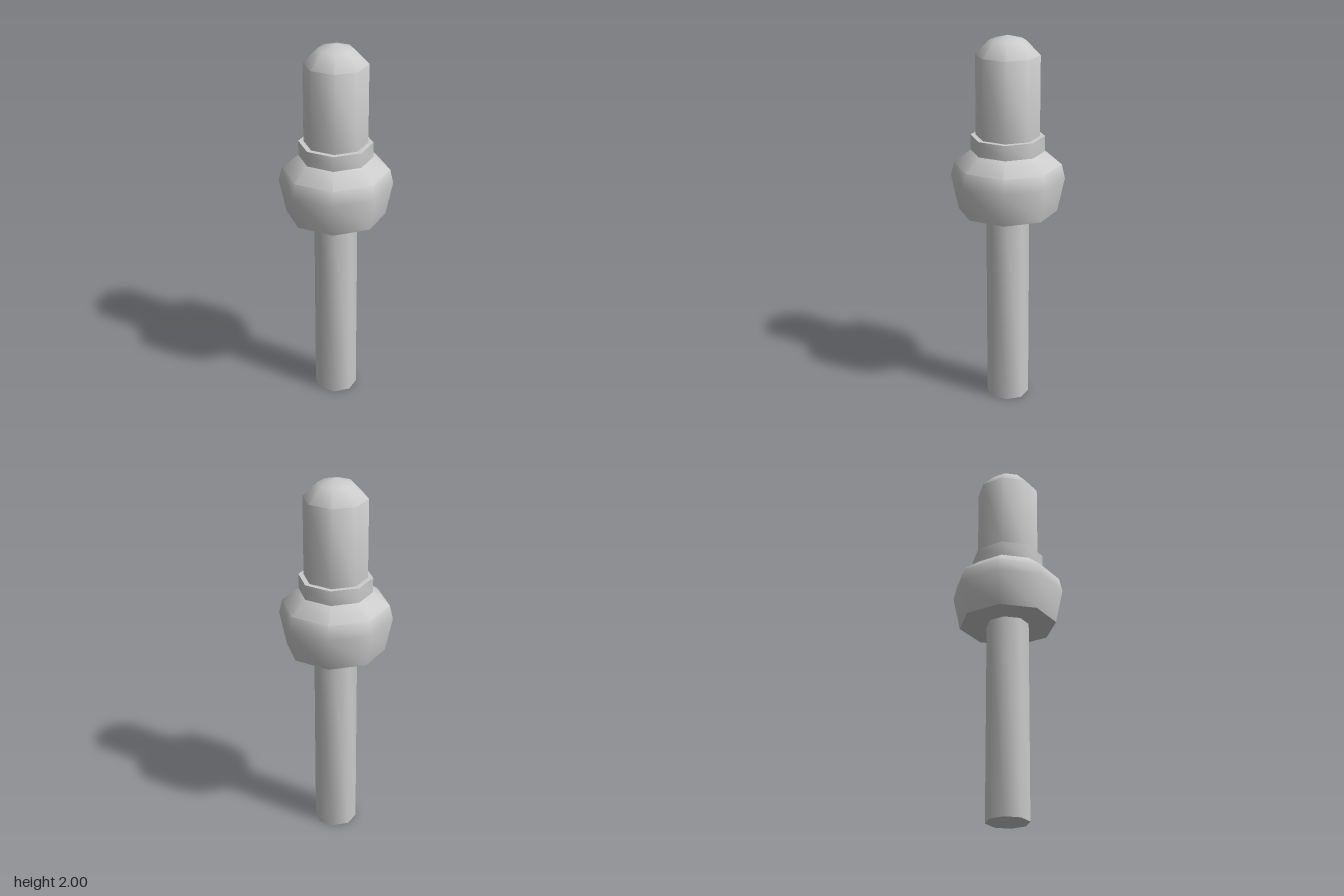
import * as THREE from 'three';
import { toCreasedNormals } from 'three/addons/utils/BufferGeometryUtils.js';

const SIDES = 8;
const material = new THREE.MeshStandardMaterial({ color: 0xcccccc });

// Octagonal turned part; profile is [distance to flat side, height], bottom to top
function turned(name, profile) {
  const points = profile.map(([r, y]) => new THREE.Vector2(r / Math.cos(Math.PI / SIDES), y));
  const geometry = new THREE.LatheGeometry(points, SIDES, Math.PI / SIDES);
  const mesh = new THREE.Mesh(toCreasedNormals(geometry, 0.9), material);
  mesh.name = name;
  return mesh;
}

export function createModel() {
  const group = new THREE.Group();
  group.name = 'octagonalPost';
  group.add(
    // Slim lower rod
    turned('shaft', [[0, 0], [0.105, 0], [0.105, 1.08]]),
    // Wide bulging body with a flat underside
    turned('body', [[0, 1.075], [0.24, 1.075], [0.275, 1.255], [0.259, 1.33], [0.178, 1.4]]),
    // Straight ring with a flat top ledge
    turned('collar', [[0.178, 1.4], [0.178, 1.48], [0.14, 1.48]]),
    // Upper pin with a domed end
    turned('tip', [[0.153, 1.48], [0.153, 1.9], [0.085, 1.975], [0, 2]])
  );
  return group;
}
